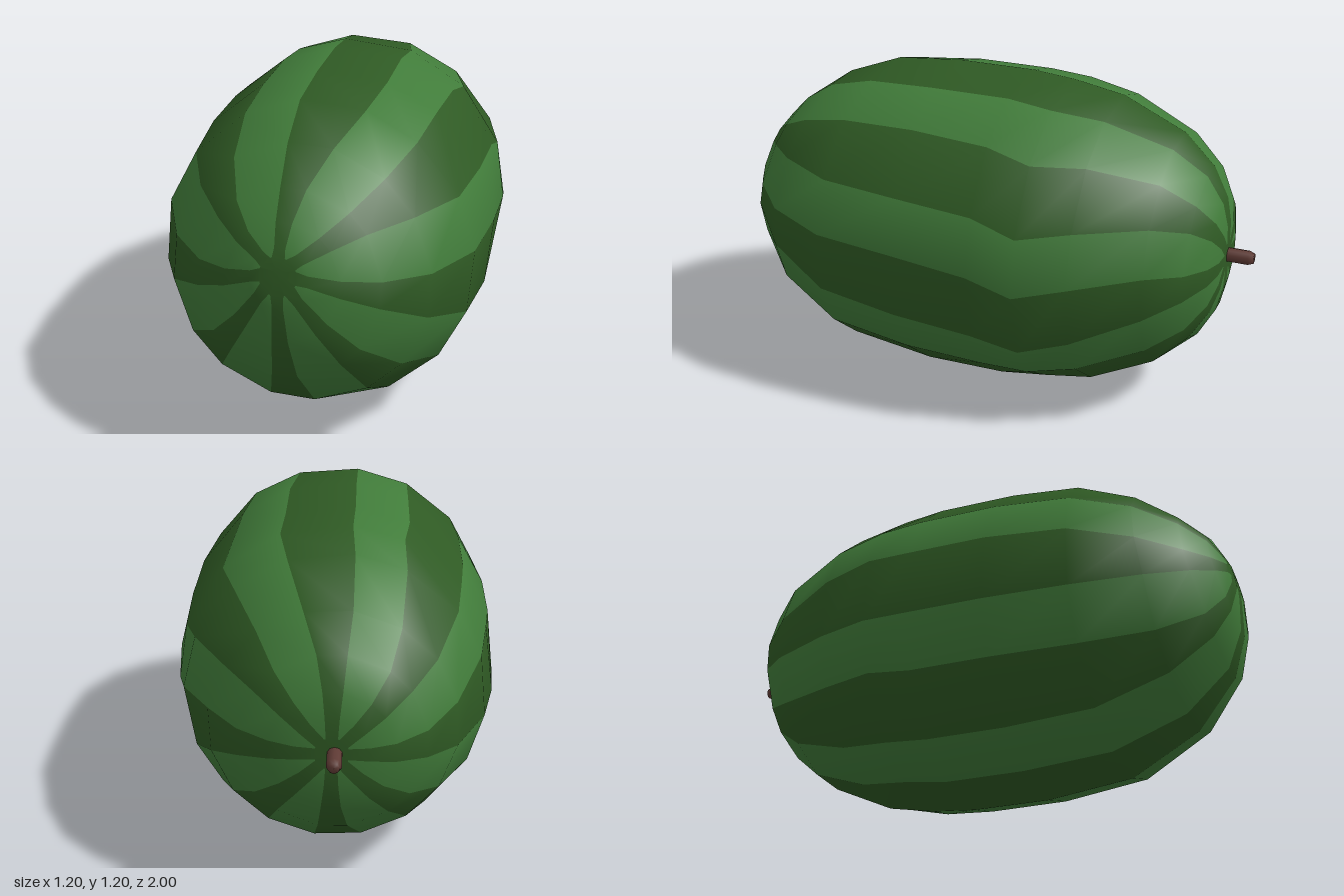
import * as THREE from 'three';

const STRIPES = 8;
const COLS = STRIPES * 2;
const CY = 0.6; // height of the long axis

// Rounded nose: radius from the axis -> z
const NOSE = [[0, 1], [0.1, 0.995], [0.2, 0.97], [0.31, 0.91], [0.465, 0.75], [0.575, 0.5], [0.602, 0.2]];

function noseZ(r) {
  for (let i = 1; i < NOSE.length; i++) {
    const [r0, z0] = NOSE[i - 1], [r1, z1] = NOSE[i];
    if (r <= r1) return z0 + (z1 - z0) * (r - r0) / (r1 - r0);
  }
  return 0.2;
}

// Rings from nose to stem: radius, half width of a dark stripe (deg), turn (deg), z (nose rings find their own)
const RINGS = [
  [0, 12, 0], [0.065, 20, 0], [0.1, 11, 0], [0.2, 8, 0], [0.32, 8, -1], [0.46, 10, -3],
  [0.57, 12, -5], [0.602, 12.5, -6, 0.2],
  [0.602, 12.5, -6, -0.1], [0.588, 13, -7, -0.27], [0.55, 12.5, -5, -0.46], [0.44, 11, -2, -0.7],
  [0.33, 9, 0, -0.82], [0.22, 9, 1, -0.88], [0.13, 11, 1, -0.9], [0.06, 20, 1, -0.902], [0, 12, 0, -0.902],
];

function rindGeometry() {
  const pos = [];
  for (const [rho, half, turn, z] of RINGS) {
    // the stripes meet above the middle of the nose
    const shift = z === undefined ? 1 - rho / 0.602 : 0;
    const sag = z === undefined ? 0 : 8 * Math.exp(-(((z + 0.3) / 0.2) ** 2));
    for (let j = 0; j < COLS; j++) {
      const centre = Math.floor(j / 2) * 360 / STRIPES;
      const bend = turn - sag * Math.max(0, Math.cos(THREE.MathUtils.degToRad(centre)));
      const a = THREE.MathUtils.degToRad(centre + bend + (j % 2 ? half : -half));
      const x = -0.03 * shift + rho * Math.cos(a);
      const y = 0.16 * shift + rho * Math.sin(a);
      pos.push(x, CY + y, z === undefined ? noseZ(Math.hypot(x, y)) : z);
    }
  }
  const last = RINGS.length - 1;
  const at = (i, j) => i * COLS + (i === 0 || i === last ? 0 : j % COLS);
  const faces = [[], []]; // dark, light
  for (let i = 0; i < last; i++) {
    for (let j = 0; j < COLS; j++) {
      // both ends are capped with a dark patch
      const list = faces[i === 0 || i === last - 1 ? 0 : j % 2];
      const a = at(i, j), b = at(i, j + 1), c = at(i + 1, j), d = at(i + 1, j + 1);
      if (i < last - 1) list.push(a, c, d);
      if (i > 0) list.push(a, d, b);
    }
  }
  const geo = new THREE.BufferGeometry();
  geo.setAttribute('position', new THREE.Float32BufferAttribute(pos, 3));
  geo.setIndex([...faces[0], ...faces[1]]);
  geo.addGroup(0, faces[0].length, 0);
  geo.addGroup(faces[0].length, faces[1].length, 1);
  geo.computeVertexNormals();
  return geo;
}

export function createModel() {
  const darkGreen = new THREE.MeshStandardMaterial({ name: 'dark green', color: 0x2f5a24 });
  const lightGreen = new THREE.MeshStandardMaterial({ name: 'light green', color: 0x417c3a });
  const brown = new THREE.MeshStandardMaterial({ name: 'stem brown', color: 0x5e3a34 });

  const model = new THREE.Group();
  model.name = 'watermelon';

  const rind = new THREE.Mesh(rindGeometry(), [darkGreen, lightGreen]);
  rind.name = 'stripedRind';
  model.add(rind);

  // Short stem with a bevelled tip, pointing back
  const profile = [[0.027, 0], [0.027, 0.1], [0.019, 0.12], [0, 0.12]].map(([r, h]) => new THREE.Vector2(r, h));
  const stem = new THREE.Mesh(new THREE.LatheGeometry(profile, 10), brown);
  stem.name = 'stem';
  stem.rotation.x = -Math.PI / 2;
  stem.position.set(-0.01, CY, -0.88);
  model.add(stem);

  return model;
}
